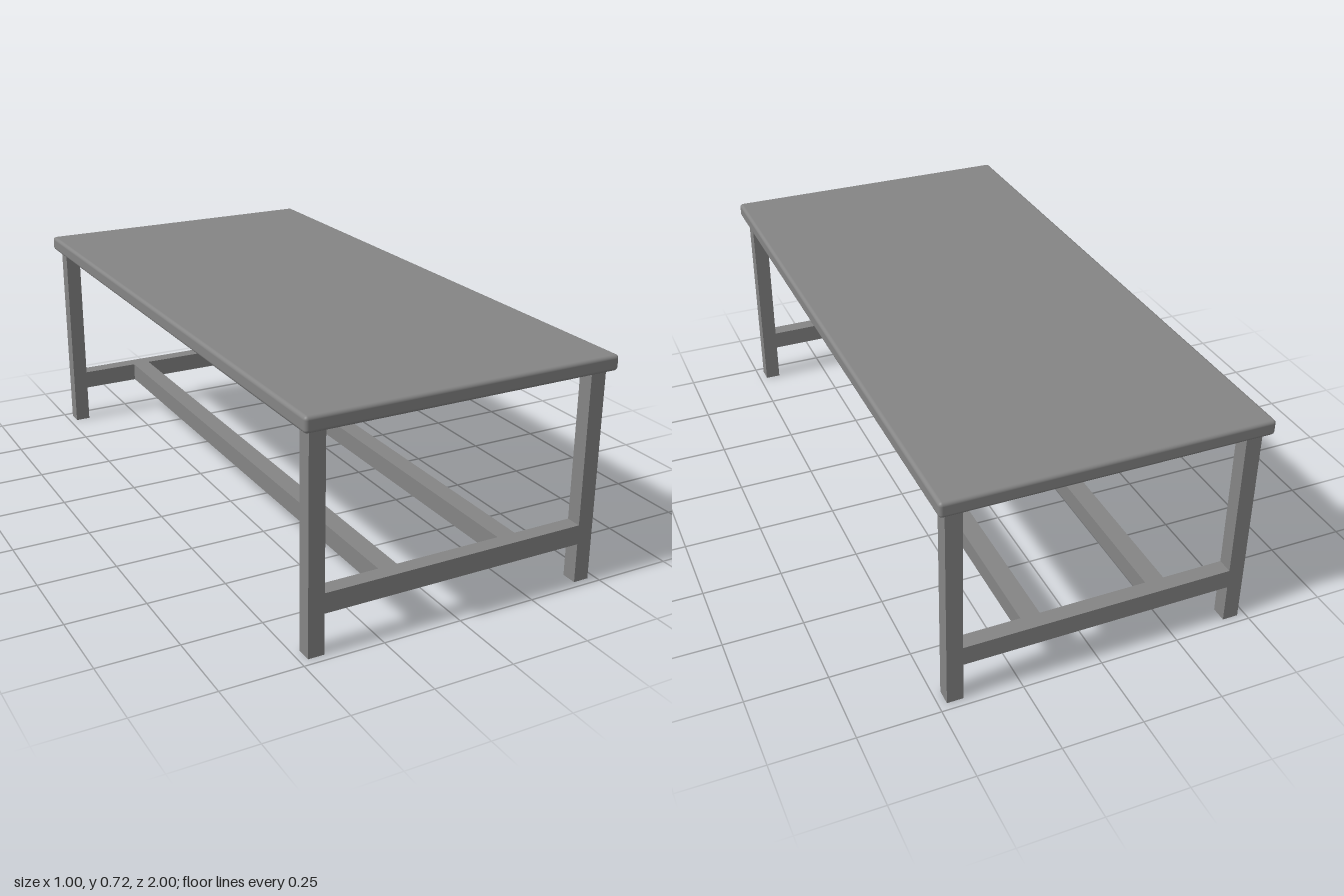
import * as THREE from 'three';
import { RoundedBoxGeometry } from 'three/addons/geometries/RoundedBoxGeometry.js';

export function createModel() {
  const table = new THREE.Group();
  table.name = 'table';
  const material = new THREE.MeshStandardMaterial({ color: 0x858585 });

  const add = (name, geometry, x, y, z) => {
    const mesh = new THREE.Mesh(geometry, material);
    mesh.name = name;
    mesh.position.set(x, y, z);
    table.add(mesh);
  };

  // Softly rounded top
  const topY = 0.716, topThickness = 0.048;
  const legHeight = topY - topThickness;
  add('tabletop', new RoundedBoxGeometry(0.998, topThickness, 2, 4, 0.011), 0, topY - topThickness / 2, 0);

  // Square legs, with rails flush to their outer faces
  const leg = 0.05, legX = 0.45, legZ = 0.95;
  const railHeight = 0.062, railY = 0.158;
  const legGeometry = new THREE.BoxGeometry(leg, legHeight, leg);
  const endRail = new THREE.BoxGeometry(2 * legX - leg, railHeight, leg);
  const longRail = new THREE.BoxGeometry(0.06, railHeight, 2 * legZ - leg);

  for (const [end, sz] of [['front', 1], ['back', -1]]) {
    for (const [side, sx] of [['Left', 1], ['Right', -1]]) {
      add(`${end}${side}Leg`, legGeometry, sx * legX, legHeight / 2, sz * legZ);
    }
    add(`${end}CrossRail`, endRail, 0, railY, sz * legZ);
  }

  // Pair of long stretchers between the cross rails
  for (const [side, sx] of [['left', 1], ['right', -1]]) {
    add(`${side}Stretcher`, longRail, sx * 0.2, railY, 0);
  }

  return table;
}
